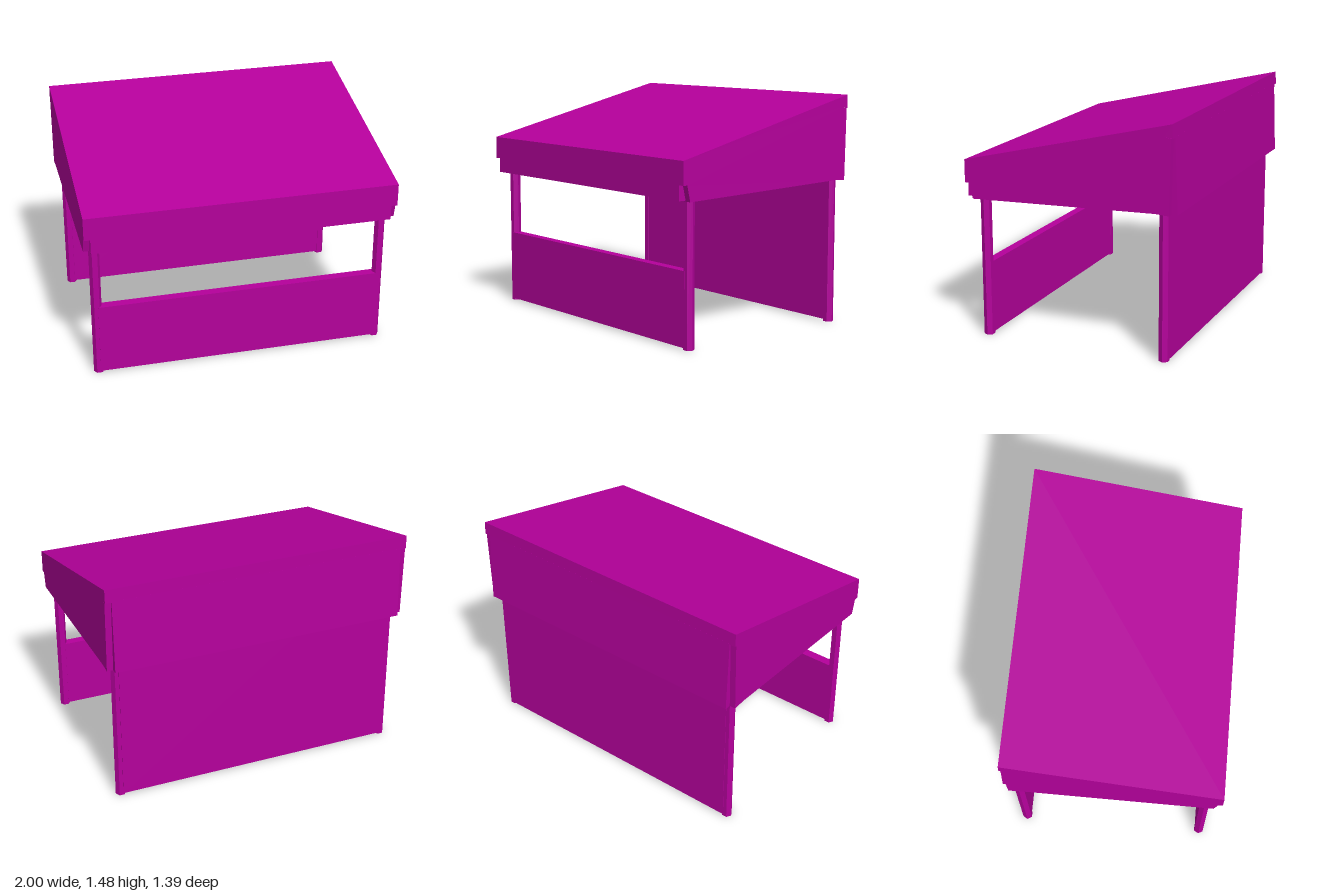
import * as THREE from 'three';

const cloth = new THREE.MeshStandardMaterial({ color: 0xb4009b, flatShading: true });

// Extrude a (z, y) side profile along x from x0 to x1
function extrudeX(name, profile, x0, x1) {
  const shape = new THREE.Shape(profile.map(([z, y]) => new THREE.Vector2(z, y)));
  const geo = new THREE.ExtrudeGeometry(shape, { depth: x1 - x0, bevelEnabled: false });
  geo.rotateY(-Math.PI / 2).translate(x1, 0, 0);
  const mesh = new THREE.Mesh(geo, cloth);
  mesh.name = name;
  return mesh;
}

function panel(name, width, y0, y1, z0, z1) {
  const mesh = new THREE.Mesh(new THREE.BoxGeometry(width, y1 - y0, z1 - z0), cloth);
  mesh.position.set(0, (y0 + y1) / 2, (z0 + z1) / 2);
  mesh.name = name;
  return mesh;
}

// Six-sided pole with a corner facing outwards
function post(name, x, z, height) {
  const geo = new THREE.CylinderGeometry(0.034, 0.034, height, 6).rotateY(Math.PI / 2);
  const mesh = new THREE.Mesh(geo, cloth);
  mesh.position.set(x, height / 2, z);
  mesh.name = name;
  return mesh;
}

export function createModel() {
  const model = new THREE.Group();
  model.name = 'marketStall';

  // Sloping roof slab, full width
  model.add(extrudeX('roof', [
    [0.697, 1.145], [-0.675, 1.475], [-0.678, 1.39], [-0.62, 1.396],
    [0.64, 1.093], [0.668, 1.0], [0.697, 1.0],
  ], -1, 1));

  // Hanging cloths, with slits left open at the corners
  model.add(extrudeX('frontValance', [
    [0.697, 1.01], [0.64, 1.095], [0.64, 0.906], [0.697, 0.906],
  ], -0.96, 0.96));
  model.add(extrudeX('backValance', [
    [-0.678, 1.395], [-0.697, 0.928], [-0.64, 0.928], [-0.62, 1.4],
  ], -0.96, 0.96));
  const sideProfile = [
    [0.668, 1.0], [0.64, 1.093], [-0.62, 1.396], [-0.668, 1.39],
    [-0.657, 0.928], [-0.57, 0.934], [0.645, 0.9],
  ];
  model.add(extrudeX('leftValance', sideProfile, 0.942, 1));
  model.add(extrudeX('rightValance', sideProfile, -1, -0.942));

  // Four posts reaching the underside of the roof
  for (const [side, x] of [['left', 0.928], ['right', -0.928]]) {
    model.add(post(side + 'FrontPost', x, 0.592, 1.11));
    model.add(post(side + 'BackPost', x, -0.605, 1.4));
  }

  // Low front counter and full-height back wall, as deep as the posts
  model.add(panel('frontCounter', 1.84, 0.013, 0.48, 0.564, 0.624));
  model.add(panel('backWall', 1.84, 0.013, 1.39, -0.638, -0.578));

  return model;
}
